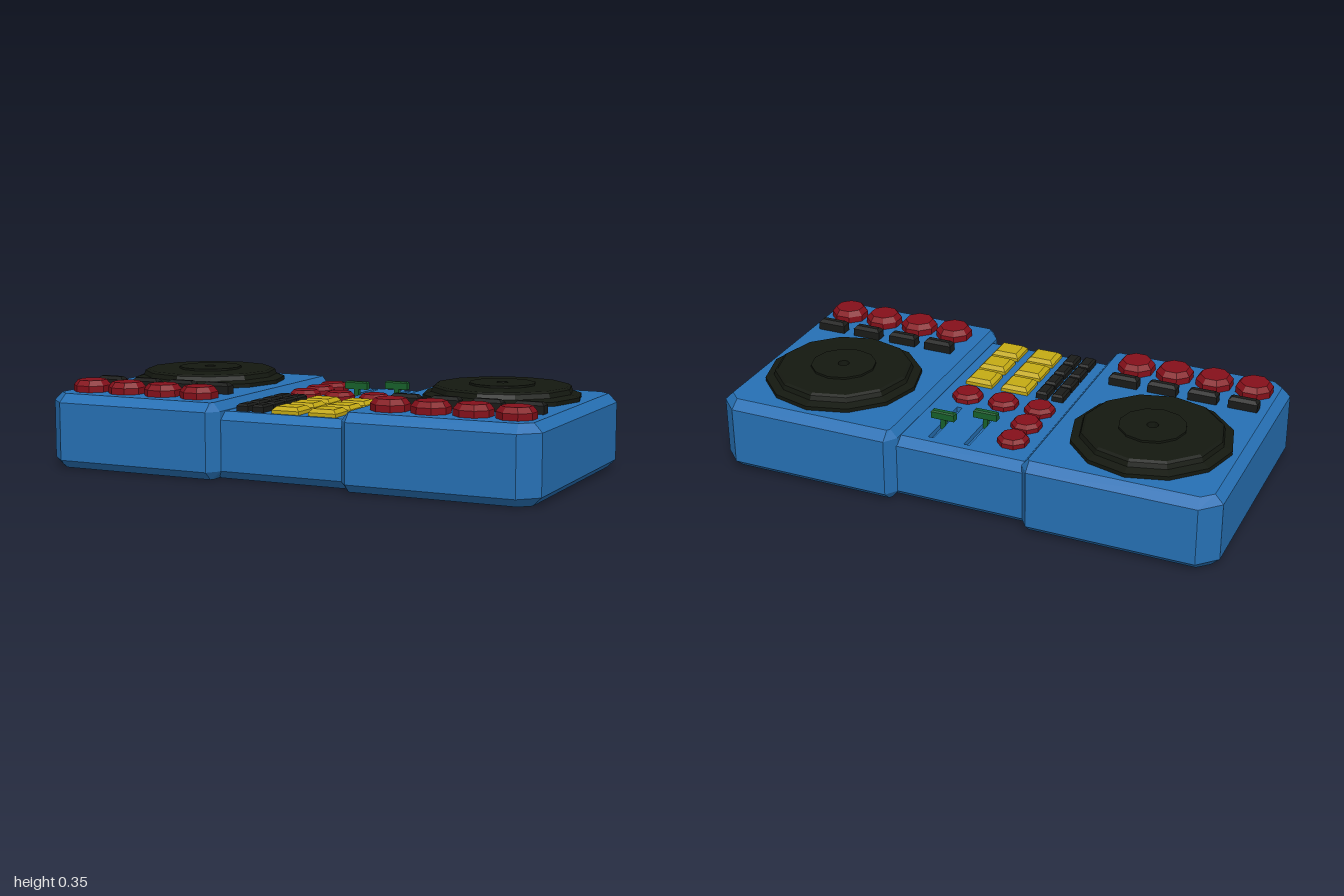
import * as THREE from 'three';
import { mergeGeometries } from 'three/addons/utils/BufferGeometryUtils.js';

const mat = (color) => new THREE.MeshStandardMaterial({ color, flatShading: true });
const blue = mat(0x2670b4), black = mat(0x1a1b19), platterBlack = mat(0x141810);
const red = mat(0x85101a), yellow = mat(0xc4aa14), green = mat(0x17602a);

// Outlines are counter-clockwise lists of [x, -z].
const rect = (w, d, cz = 0) => [
  [-w / 2, -d / 2 - cz], [w / 2, -d / 2 - cz], [w / 2, d / 2 - cz], [-w / 2, d / 2 - cz],
];
// Regular octagon with flats facing the axes; r is the distance to a flat.
const octagon = (r) => Array.from({ length: 8 }, (_, i) => {
  const a = (i + 0.5) * Math.PI / 4, R = r / Math.cos(Math.PI / 8);
  return [R * Math.cos(a), R * Math.sin(a)];
});
const mirrored = (outline) => outline.map(([x, v]) => [-x, v]).reverse();

// Stack of outlines [outline, y] joined by walls, capped at both ends; the top may have holes.
function stack(layers, holes = []) {
  const pos = [];
  const tri = (...pts) => pts.forEach(([p, y]) => pos.push(p[0], y, -p[1]));
  for (let k = 0; k < layers.length - 1; k++) {
    const [lo, y0] = layers[k], [hi, y1] = layers[k + 1];
    lo.forEach((a, i) => {
      const j = (i + 1) % lo.length;
      tri([a, y0], [lo[j], y0], [hi[j], y1]);
      tri([a, y0], [hi[j], y1], [hi[i], y1]);
    });
  }
  const [base, yb] = layers[0];
  for (let i = 1; i < base.length - 1; i++) tri([base[0], yb], [base[i + 1], yb], [base[i], yb]);
  const walls = new THREE.BufferGeometry();
  walls.setAttribute('position', new THREE.Float32BufferAttribute(pos, 3));
  walls.computeVertexNormals();

  const [top, yt] = layers[layers.length - 1];
  const toVec = (o) => o.map(([x, v]) => new THREE.Vector2(x, v));
  const shape = new THREE.Shape(toVec(top));
  holes.forEach((h) => shape.holes.push(new THREE.Path(toVec(h))));
  const cap = new THREE.ShapeGeometry(shape).rotateX(-Math.PI / 2).translate(0, yt, 0).toNonIndexed();
  cap.deleteAttribute('uv');
  return mergeGeometries([walls, cap]);
}

// Button with a chamfered top.
const button = (w, d, h, bevel) => stack([
  [rect(w, d), -0.005], [rect(w, d), h - bevel], [rect(w - 2 * bevel, d - 2 * bevel), h],
]);
// Eight-sided knob tapering towards its top.
const knob = (r, h) => stack([
  [octagon(r), -0.005], [octagon(r), h * 0.55], [octagon(r * 0.77), h],
]);

export function createModel() {
  const model = new THREE.Group();
  const add = (name, geometry, material, x = 0, y = 0, z = 0) => {
    const mesh = new THREE.Mesh(geometry, material);
    mesh.name = name;
    mesh.position.set(x, y, z);
    model.add(mesh);
  };

  // Shared geometries
  const deckTop = 0.29, mixerTop = 0.255;
  const deckOuter = [[0.285, -0.51], [0.93, -0.51], [1, -0.44], [1, 0.44],
    [0.93, 0.51], [0.285, 0.51], [0.25, 0.46], [0.25, -0.46]];
  const deckInset = [[0.285, -0.475], [0.925, -0.475], [0.967, -0.435], [0.967, 0.435],
    [0.925, 0.475], [0.285, 0.475], [0.277, 0.462], [0.277, -0.462]];
  const platter = new THREE.LatheGeometry([
    [0.305, 0.285], [0.305, 0.305], [0.272, 0.315], [0.266, 0.333], [0.255, 0.34],
    [0.127, 0.34], [0.127, 0.348], [0.022, 0.348], [0.022, 0.285],
  ].map(([r, y]) => new THREE.Vector2(r, y)), 12);
  const deckKnob = knob(0.068, 0.045);
  const deckKey = button(0.115, 0.043, 0.043, 0.012);

  // Two mirrored decks
  for (const [side, s] of [['left', 1], ['right', -1]]) {
    const flip = s > 0 ? (o) => o : mirrored;
    const outer = flip(deckOuter), inset = flip(deckInset);
    add(`${side}DeckBody`, stack([[inset, 0], [outer, 0.032], [outer, 0.257], [inset, deckTop]]), blue);
    add(`${side}Platter`, platter, platterBlack, s * 0.637, 0, -0.147);
    [0.397, 0.555, 0.717, 0.877].forEach((x, i) => {
      add(`${side}DeckKnob${i + 1}`, deckKnob, red, s * x, deckTop, 0.36);
      add(`${side}DeckKey${i + 1}`, deckKey, black, s * x, deckTop, 0.217);
    });
  }

  // Middle mixer body with two recessed fader slots
  const faders = [{ x: -0.005, z: -0.222 }, { x: 0.14, z: -0.288 }];
  const slotZ = -0.273, slotW = 0.022, slotL = 0.255, slotDepth = 0.02;
  const slots = faders.map(({ x }) => rect(slotW, slotL, slotZ).map(([px, v]) => [px + x, v]));
  const mixerOuter = rect(0.54, 0.92, -0.005), mixerInset = rect(0.54, 0.85, -0.005);
  add('mixerBody', stack([
    [mixerInset, 0], [mixerOuter, 0.032], [mixerOuter, 0.225], [mixerInset, mixerTop],
  ], slots), blue);

  // Slot linings face inwards; fader caps sit on thin stems
  const lining = new THREE.BoxGeometry(slotW, slotDepth, slotL).scale(-1, 1, 1);
  const stem = new THREE.BoxGeometry(0.02, 0.05, 0.018);
  const faderCap = button(0.095, 0.027, 0.026, 0.005);
  faders.forEach(({ x, z }, i) => {
    add(`faderSlot${i + 1}`, lining, blue, x, mixerTop - slotDepth / 2, slotZ);
    add(`faderStem${i + 1}`, stem, green, x, 0.262, z);
    add(`faderCap${i + 1}`, faderCap, green, x, 0.283, z);
  });

  // Mixer knobs in an L
  const mixerKnob = knob(0.055, 0.032);
  [[-0.155, -0.315], [-0.155, -0.188], [-0.155, -0.058], [-0.005, -0.058], [0.145, -0.058]]
    .forEach(([x, z], i) => add(`mixerKnob${i + 1}`, mixerKnob, red, x, mixerTop, z));

  // Small key grid
  const smallKey = button(0.048, 0.08, 0.028, 0.008);
  for (const x of [-0.186, -0.121])
    for (const z of [0.083, 0.175, 0.27, 0.365]) add('mixerKey', smallKey, black, x, mixerTop, z);

  // Pads
  const pad = button(0.112, 0.106, 0.027, 0.014);
  for (const x of [-0.005, 0.145])
    for (const z of [0.097, 0.226, 0.355]) add('pad', pad, yellow, x, mixerTop, z);

  return model;
}
